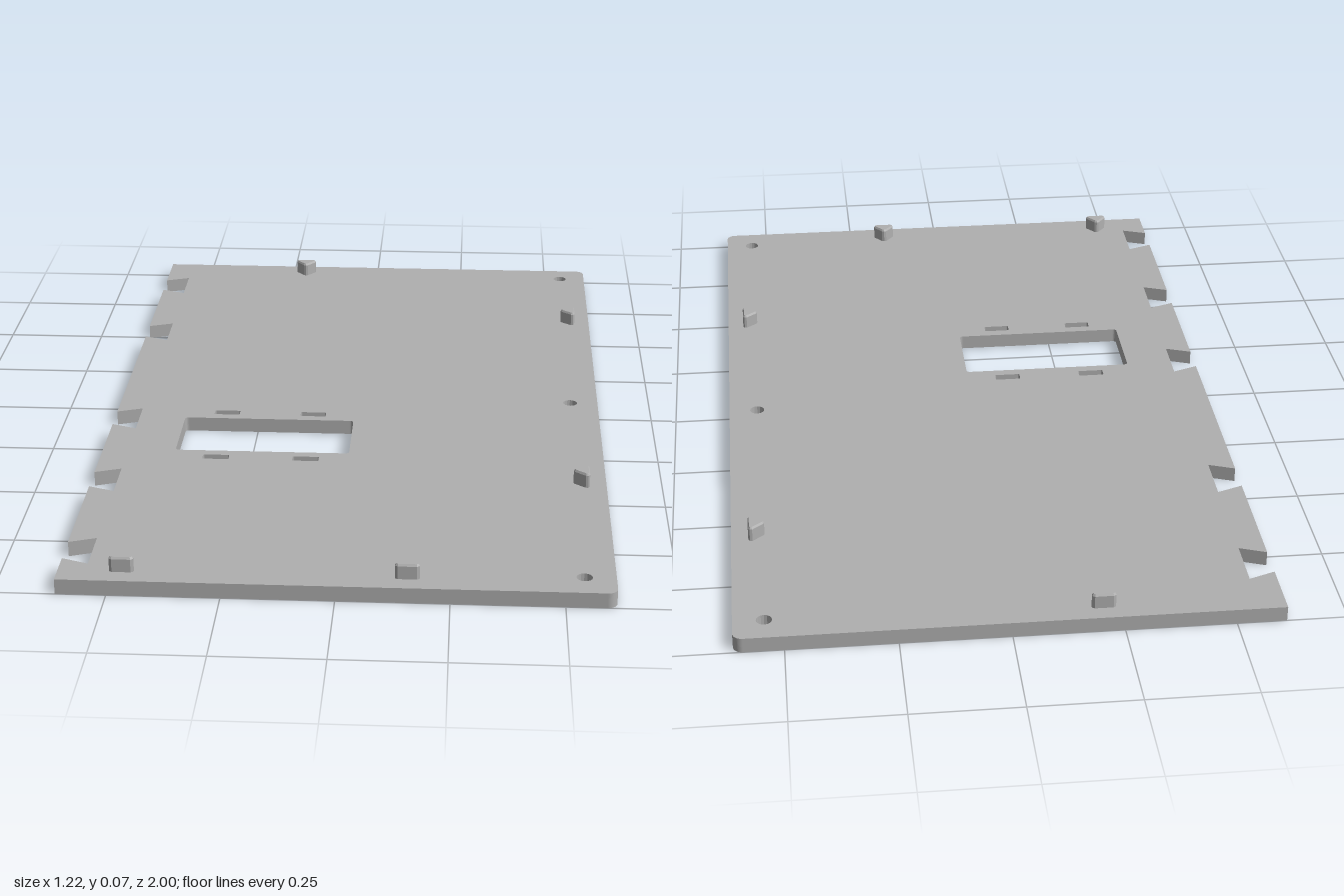
import * as THREE from 'three';

const THICK = 0.036;

// Outlines are drawn in (x, -z) and laid flat by rotating about x.
function roundedRect(path, x0, x1, z0, z1, r) {
  path.moveTo(x0 + r, -z0);
  path.lineTo(x1 - r, -z0);
  path.quadraticCurveTo(x1, -z0, x1, -z0 - r);
  path.lineTo(x1, -z1 + r);
  path.quadraticCurveTo(x1, -z1, x1 - r, -z1);
  path.lineTo(x0 + r, -z1);
  path.quadraticCurveTo(x0, -z1, x0, -z1 + r);
  path.lineTo(x0, -z0 - r);
  path.quadraticCurveTo(x0, -z0, x0 + r, -z0);
  return path;
}

function plateGeometry() {
  const left = -0.612, right = 0.612, inner = -0.55, r = 0.022;
  const s = new THREE.Shape();

  // Left edge with dovetail notches, then the rounded right corners
  s.moveTo(left, 1);
  for (const z of [-0.822, -0.457, 0.134, 0.494, 0.861]) {
    s.lineTo(left, -z + 0.039);
    s.lineTo(inner, -z + 0.062);
    s.lineTo(inner, -z - 0.062);
    s.lineTo(left, -z - 0.039);
  }
  s.lineTo(left, -1);
  s.lineTo(right - r, -1);
  s.absarc(right - r, -1 + r, r, -Math.PI / 2, 0, false);
  s.lineTo(right, 1 - r);
  s.absarc(right - r, 1 - r, r, 0, Math.PI / 2, false);
  s.closePath();

  // Window with four slots around it
  s.holes.push(roundedRect(new THREE.Path(), -0.434, -0.008, 0.122, 0.317, 0.01));
  for (const x of [-0.331, -0.112]) {
    for (const z of [0.086, 0.353]) {
      s.holes.push(roundedRect(new THREE.Path(), x - 0.032, x + 0.032, z - 0.012, z + 0.012, 0.004));
    }
  }

  // Screw holes along the right edge
  for (const z of [-0.934, -0.021, 0.929]) {
    s.holes.push(new THREE.Path().absarc(0.542, -z, 0.018, 0, Math.PI * 2, true));
  }

  const g = new THREE.ExtrudeGeometry(s, { depth: THICK, bevelEnabled: false, curveSegments: 8 });
  return g.rotateX(-Math.PI / 2);
}

// Triangular peg with blunt corners and a chamfered top, pointing to +z
function pegGeometry() {
  const outline = [[-0.021, -0.019], [0.021, -0.019], [0.027, -0.015], [0.027, -0.009],
    [0.006, 0.017], [0, 0.019], [-0.006, 0.017], [-0.027, -0.009], [-0.027, -0.015]];
  const s = new THREE.Shape(outline.map(([x, z]) => new THREE.Vector2(x, -z)));
  const g = new THREE.ExtrudeGeometry(s, {
    depth: 0.032, bevelThickness: 0.005, bevelSize: 0.003, bevelOffset: -0.003, bevelSegments: 1,
  });
  return g.rotateX(-Math.PI / 2).translate(0, THICK - 0.001, 0);
}

export function createModel() {
  const group = new THREE.Group();
  group.name = 'mountingPlate';
  const grey = new THREE.MeshStandardMaterial({ color: 0xb0b0b0 });
  grey.name = 'grey';

  const plate = new THREE.Mesh(plateGeometry(), grey);
  plate.name = 'plate';
  group.add(plate);

  // Locating pegs, each pointing inward: x, z, turn about y
  const peg = pegGeometry();
  const pegs = [
    [-0.207, -0.944, 0],
    [0.553, -0.593, -Math.PI / 2],
    [0.553, 0.452, -Math.PI / 2],
    [-0.471, 0.94, Math.PI],
    [0.156, 0.94, Math.PI],
  ];
  pegs.forEach(([x, z, turn], i) => {
    const m = new THREE.Mesh(peg, grey);
    m.name = `peg${i + 1}`;
    m.position.set(x, 0, z);
    m.rotation.y = turn;
    group.add(m);
  });
  return group;
}
